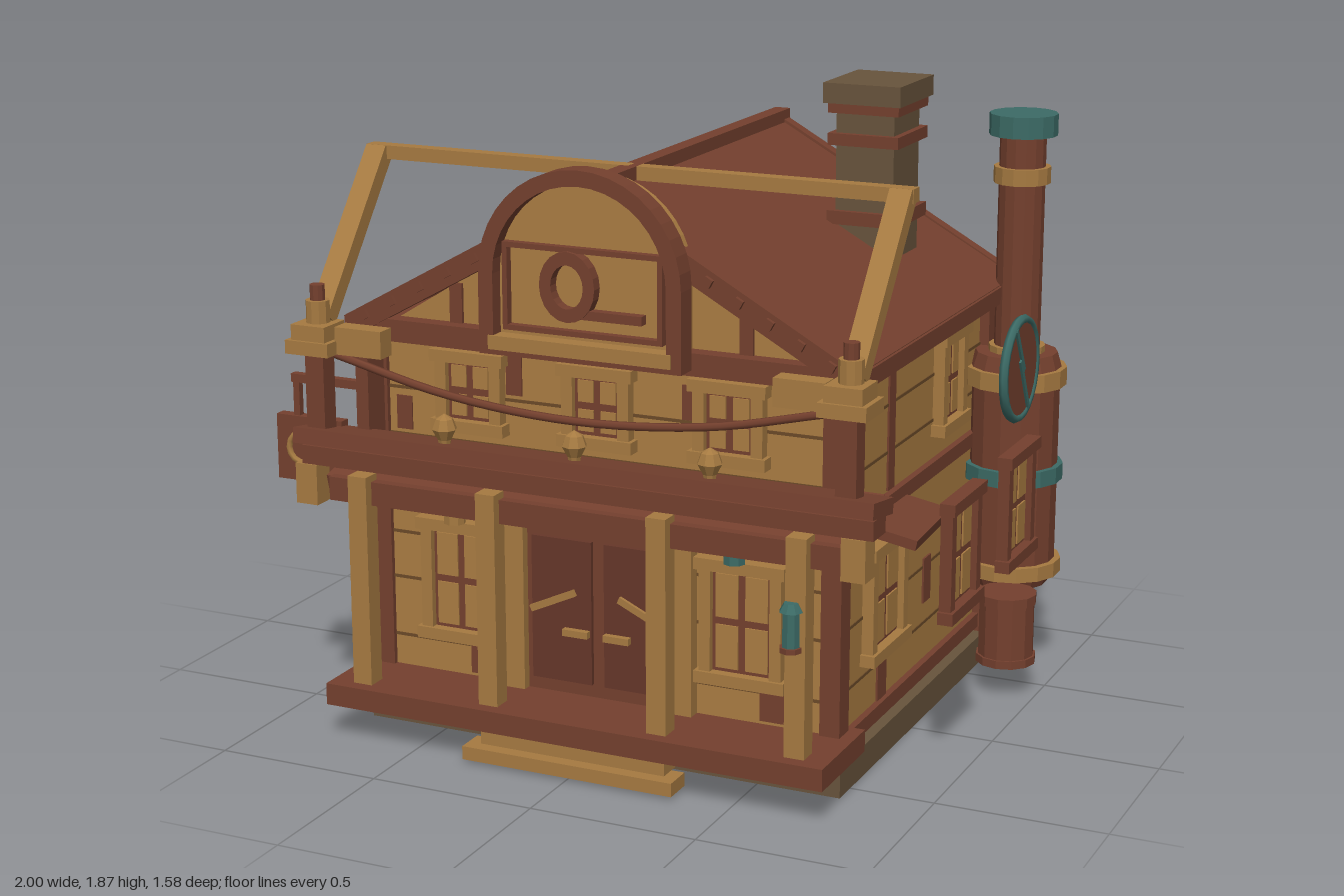
import * as THREE from 'three';

const mat = (name, color) => Object.assign(new THREE.MeshStandardMaterial({ color }), { name });
const plaster = mat('tan boards', 0xaa7c42);
const trim = mat('golden trim', 0xa67a41);
const rust = mat('red brown timber', 0x74402e);
const dark = mat('dark door timber', 0x663729);
const teal = mat('teal metal', 0x3c6b66);
const stone = mat('grey brown stone', 0x68543c);
const groove = mat('board groove', 0x6b4a28);

export function createModel() {
  const model = new THREE.Group();
  model.name = 'timberHouse';

  // ---- helpers ----
  const add = (parent, name, geo, m, x = 0, y = 0, z = 0) => {
    const mesh = new THREE.Mesh(geo, m);
    mesh.name = name;
    mesh.position.set(x, y, z);
    parent.add(mesh);
    return mesh;
  };
  const span = (name, m, x0, x1, y0, y1, z0, z1, parent = model) =>
    add(parent, name, new THREE.BoxGeometry(x1 - x0, y1 - y0, z1 - z0), m, (x0 + x1) / 2, (y0 + y1) / 2, (z0 + z1) / 2);
  const flat = (geo) => { const g = geo.toNonIndexed(); g.computeVertexNormals(); return g; };
  const drum = (name, m, r0, r1, y0, y1, x, z, sides = 14, parent = model) =>
    add(parent, name, flat(new THREE.CylinderGeometry(r1, r0, y1 - y0, sides)), m, x, (y0 + y1) / 2, z);
  const bar = (name, m, a, b, w, d, parent = model) => {
    const p = new THREE.Vector3(...a), q = new THREE.Vector3(...b);
    const mesh = add(parent, name, new THREE.BoxGeometry(w, p.distanceTo(q), d), m);
    mesh.position.copy(p).add(q).multiplyScalar(0.5);
    mesh.quaternion.setFromUnitVectors(new THREE.Vector3(0, 1, 0), q.sub(p).normalize());
    return mesh;
  };
  const extrude = (name, m, shape, z0, z1, parent = model) =>
    add(parent, name, new THREE.ExtrudeGeometry(shape, { depth: z1 - z0, bevelEnabled: false, curveSegments: 10 }), m, 0, 0, z0);
  const poly = (pts) => new THREE.Shape(pts.map((p) => new THREE.Vector2(...p)));

  // Framed window with four panes, facing +z before turning
  const windowUnit = (w, h, x, y, z, turn = 0, frame = trim) => {
    const g = new THREE.Group();
    g.name = 'window';
    const a = w / 2, b = h / 2, t = 0.035;
    span('windowBacking', rust, -a + 0.01, a - 0.01, -b + 0.01, b - 0.01, 0, 0.015, g);
    for (const s of [-1, 1]) {
      span('windowJamb', frame, s * (a - t / 2) - t / 2, s * (a - t / 2) + t / 2, -b, b, 0, 0.035, g);
      for (const v of [-1, 1]) {
        const px = (a - t) / 2, py = (b - t) / 2;
        span('windowPane', plaster, s * px - px + 0.011, s * px + px - 0.011, v * py - py + 0.011, v * py + py - 0.011, 0.014, 0.02, g);
      }
    }
    span('windowHead', frame, -a - 0.012, a + 0.012, b - t, b, 0, 0.045, g);
    span('windowSill', frame, -a - 0.012, a + 0.012, -b, -b + t, 0, 0.045, g);
    g.position.set(x, y, z);
    g.rotation.y = turn;
    model.add(g);
    return g;
  };
  const lantern = (x, y, z) => {
    drum('lanternGlass', teal, 0.025, 0.025, y - 0.06, y + 0.05, x, z, 8);
    drum('lanternBase', rust, 0.032, 0.032, y - 0.07, y - 0.055, x, z, 8);
    drum('lanternLid', teal, 0.034, 0.02, y + 0.045, y + 0.07, x, z, 8);
  };

  // ---- foundation, porch floor and steps ----
  span('foundation', stone, -0.75, 0.75, 0, 0.09, -0.72, 0.58);
  span('porchFloor', rust, -0.78, 0.78, 0.105, 0.17, 0.47, 0.79);
  span('upperStep', trim, -0.29, 0.29, 0.05, 0.09, 0.58, 0.75);
  span('lowerStep', trim, -0.33, 0.33, 0.01, 0.05, 0.7, 0.79);
  span('backStep', trim, -0.23, 0.23, 0.06, 0.12, -0.78, -0.7);

  // ---- walls with board grooves ----
  span('walls', plaster, -0.71, 0.71, 0.09, 1.2, -0.69, 0.55);
  for (const y of [0.26, 0.44, 0.58, 0.88, 1.02]) span('boardGroove', groove, -0.713, 0.713, y, y + 0.009, -0.693, 0.553);
  for (const [y0, y1] of [[0.105, 0.15], [0.72, 0.765], [1.165, 1.21]])
    span('wallBeam', rust, -0.73, 0.73, y0, y1, -0.71, 0.57);
  for (const x of [-0.71, 0.71]) for (const z of [-0.68, 0.53])
    span('cornerPost', rust, x - 0.03, x + 0.03, 0.09, 1.2, z - 0.035, z + 0.035);

  // Bare timber showing through the boards
  for (const [x, y, w, h] of [[-0.38, 0.23, 0.09, 0.1], [0.55, 0.23, 0.11, 0.1], [0.29, 1.08, 0.07, 0.1], [-0.63, 0.95, 0.05, 0.1], [-0.27, 1.1, 0.05, 0.12], [0.62, 0.5, 0.06, 0.07]])
    span('barePatchFront', rust, x - w / 2, x + w / 2, y - h / 2, y + h / 2, 0.55, 0.555);
  for (const s of [-1, 1]) for (const [z, y, w, h] of [[0.125, 0.97, 0.05, 0.4], [0.17, 0.2, 0.07, 0.13], [0.14, 0.68, 0.05, 0.1], [-0.2, 0.4, 0.06, 0.14]])
    span('barePatchSide', rust, s * 0.7125 - 0.0035, s * 0.7125 + 0.0035, y - h / 2, y + h / 2, z - w / 2, z + w / 2);

  // ---- roof ----
  const chevron = (x, top, eave, t) => poly([[-x, eave - t], [0, top - t], [x, eave - t], [x, eave], [0, top], [-x, eave]]);
  extrude('gable', plaster, poly([[-0.71, 1.19], [0.71, 1.19], [0, 1.63]]), -0.69, 0.55);
  extrude('roof', rust, chevron(0.8, 1.665, 1.225, 0.04), -0.74, 0.585);
  extrude('frontRake', rust, chevron(0.79, 1.675, 1.235, 0.075), 0.57, 0.61);
  extrude('backRake', rust, chevron(0.79, 1.675, 1.235, 0.075), -0.755, -0.715);
  span('ridgeBeam', rust, -0.025, 0.025, 1.62, 1.69, -0.76, 0.615);
  for (const s of [-1, 1]) {
    span('eaveBeam', rust, s * 0.77 - 0.025, s * 0.77 + 0.025, 1.17, 1.23, -0.74, 0.6);
    for (const z of [0.615, -0.758]) for (let i = 0; i < 5; i++) {
      const x = 0.36 + i * 0.09;
      const stud = add(model, 'rakeStud', new THREE.BoxGeometry(0.025, 0.025, 0.015), rust, s * x, 1.64 - x * 0.55, z);
      stud.rotation.z = -s * 0.5;
    }
    for (const x of [0.2, 0.45]) {
      span('gableStudBack', rust, s * x - 0.02, s * x + 0.02, 1.2, 1.63 - x * 0.62, -0.7, -0.68);
      span('gableStudFront', rust, s * x - 0.02, s * x + 0.02, 1.2, 1.63 - x * 0.62, 0.54, 0.56);
    }
  }
  span('frontTieBeam', rust, -0.78, 0.78, 1.17, 1.235, 0.55, 0.6);
  span('backTieBeam', rust, -0.76, 0.76, 1.165, 1.22, -0.74, -0.68);

  // ---- arched sign on the front gable ----
  const arch = (r, y0, c, Type = THREE.Shape) => {
    const s = new Type();
    s.moveTo(-r, y0); s.lineTo(r, y0); s.lineTo(r, c); s.absarc(0, c, r, 0, Math.PI, false); s.lineTo(-r, y0);
    return s;
  };
  extrude('archPanel', plaster, arch(0.285, 1.21, 1.42), 0.54, 0.635);
  const archFrame = arch(0.31, 1.19, 1.42);
  archFrame.holes.push(arch(0.265, 1.24, 1.42, THREE.Path));
  extrude('archFrame', rust, archFrame, 0.61, 0.68);
  span('archSill', trim, -0.28, 0.28, 1.205, 1.245, 0.62, 0.685);
  const rim = poly([[-0.245, 1.26], [0.245, 1.26], [0.245, 1.51], [-0.245, 1.51]]);
  rim.holes.push(new THREE.Path([[-0.23, 1.275], [0.23, 1.275], [0.23, 1.495], [-0.23, 1.495]].map((p) => new THREE.Vector2(...p))));
  extrude('signRim', rust, rim, 0.63, 0.66);
  const lens = new THREE.Shape().absellipse(-0.04, 1.4, 0.085, 0.1, 0, Math.PI * 2, false);
  lens.holes.push(new THREE.Path().absellipse(-0.04, 1.4, 0.05, 0.062, 0, Math.PI * 2, true));
  extrude('signRing', rust, lens, 0.63, 0.67);
  span('signBar', rust, 0, 0.185, 1.312, 1.338, 0.63, 0.665);

  // ---- front door ----
  span('doorBacking', rust, -0.24, 0.24, 0.17, 0.72, 0.55, 0.562);
  for (const s of [-1, 1]) {
    span('doorLeaf', dark, s * 0.115 - 0.095, s * 0.115 + 0.095, 0.21, 0.64, 0.56, 0.575);
    bar('doorBrace', trim, [s * 0.07, 0.485, 0.58], [s * 0.21, 0.42, 0.58], 0.02, 0.012);
    span('doorHandle', trim, s * 0.065 - 0.04, s * 0.065 + 0.04, 0.355, 0.375, 0.575, 0.595);
    span('doorJamb', trim, s * 0.265 - 0.035, s * 0.265 + 0.035, 0.17, 0.72, 0.55, 0.59);
  }

  // ---- windows ----
  const quarter = Math.PI / 2;
  for (const s of [-1, 1]) {
    windowUnit(0.25, 0.37, s * 0.445, 0.465, 0.55);
    windowUnit(0.21, 0.24, s * 0.405, 1.04, 0.55);
    windowUnit(0.25, 0.37, s * 0.45, 0.46, -0.69, Math.PI);
    windowUnit(0.21, 0.29, s * 0.41, 0.99, -0.69, Math.PI);
    windowUnit(0.28, 0.35, s * 0.71, 0.475, 0.185, s * quarter);
    windowUnit(0.21, 0.31, s * 0.71, 0.99, -0.335, s * quarter);
    if (s < 0) windowUnit(0.28, 0.35, s * 0.71, 0.475, -0.335, s * quarter);
  }
  windowUnit(0.21, 0.24, 0, 1.04, 0.55);
  // Shutters hung out on the right-hand side
  for (const z of [0.25, -0.245]) windowUnit(0.25, 0.35, 0.955, 0.655, z, quarter, rust);
  // Small slanted window hoods
  const hoodA = span('windowHood', rust, 0.7, 0.87, 0.69, 0.72, 0.03, 0.36);
  const hoodB = span('windowHood', rust, -0.87, -0.7, 1.12, 1.15, -0.48, -0.19);
  hoodA.rotation.set(0, 0.06, -0.2);
  hoodB.rotation.set(0, 0.06, 0.2);

  // ---- back door ----
  span('backDoorFrame', trim, -0.17, 0.17, 0.11, 0.7, -0.715, -0.68);
  span('backDoor', dark, -0.14, 0.14, 0.12, 0.67, -0.725, -0.7);
  const hood = span('backDoorHood', rust, -0.265, 0.265, 0.71, 0.75, -0.79, -0.68);
  hood.rotation.x = -0.2;
  span('lanternBracket', trim, -0.32, -0.28, 0.6, 0.64, -0.78, -0.69);
  lantern(-0.3, 0.51, -0.76);
  add(model, 'backDisc', flat(new THREE.CylinderGeometry(0.08, 0.08, 0.03, 14)), teal, 0.59, 1.03, -0.77).rotation.x = quarter;

  // ---- porch columns, canopy and balcony ----
  for (const x of [-0.68, -0.265, 0.265, 0.68]) span('porchColumn', trim, x - 0.03, x + 0.03, 0.17, 0.8, 0.69, 0.75);
  lantern(0.67, 0.55, 0.775 - 0.02);
  span('canopyBeam', rust, -0.79, 0.8, 0.71, 0.78, 0.66, 0.72);
  const canopy = add(model, 'canopy', new THREE.BoxGeometry(1.62, 0.05, 0.28), rust, 0, 0.79, 0.56);
  canopy.rotation.x = 0.27;
  span('balconyBeam', rust, -0.86, 0.9, 0.82, 0.875, 0.66, 0.75);
  const deck = add(model, 'balconyDeck', new THREE.BoxGeometry(1.78, 0.045, 0.15), rust, 0.02, 0.9, 0.705);
  deck.rotation.x = -0.15;
  for (const x of [-0.44, 0.44]) drum('porchLamp', x > 0 ? teal : trim, 0.032, 0.032, 0.655, 0.74, x, 0.61, 8);

  for (const s of [-1, 1]) {
    const x = s * 0.815;
    span('balconyPost', rust, x - 0.03, x + 0.03, 0.88, 1.16, 0.68, 0.74);
    span('postFoot', trim, s * 0.845 - 0.035, s * 0.845 + 0.035, 0.7, 0.82, 0.685, 0.755);
    span('postCollar', trim, x - 0.07, x + 0.07, 1.15, 1.19, 0.65, 0.78);
    span('postCap', trim, x - 0.055, x + 0.055, 1.19, 1.235, 0.66, 0.77);
    span('sideBracket', trim, s * 0.675 - 0.075, s * 0.675 + 0.075, 1.15, 1.23, 0.67, 0.73);
    drum('postPin', trim, 0.035, 0.035, 1.23, 1.3, x, 0.71, 10);
    drum('postPinTop', rust, 0.022, 0.022, 1.3, 1.345, x, 0.71, 10);
    bar('awningStrut', trim, [x, 1.24, 0.69], [x, 1.675, 0.345], 0.065, 0.05);
  }
  span('awningRail', trim, -0.85, 0.85, 1.65, 1.69, 0.315, 0.36);

  // Hanging rope and balcony lamps
  const rope = new THREE.CatmullRomCurve3([-0.76, -0.4, 0, 0.4, 0.76].map((x) => new THREE.Vector3(x, 1.035 + 0.19 * x * x, 0.71)));
  add(model, 'rope', new THREE.TubeGeometry(rope, 24, 0.012, 6), rust);
  for (const x of [-0.41, 0, 0.41]) {
    const profile = [[0, 0], [0.015, 0], [0.02, 0.025], [0.036, 0.055], [0.025, 0.085], [0, 0.1]].map((p) => new THREE.Vector2(...p));
    add(model, 'balconyLamp', flat(new THREE.LatheGeometry(profile, 8)), trim, x, 0.91, 0.71);
  }

  // ---- hanging board sign on the model's right ----
  span('hangingBoard', rust, -1.0, -0.78, 0.735, 0.93, 0.625, 0.66);
  add(model, 'hangingRing', new THREE.TorusGeometry(0.045, 0.01, 6, 14), trim, -0.915, 0.835, 0.66);
  span('hangingArm', rust, -0.95, -0.69, 1.03, 1.055, 0.63, 0.655);
  for (const x of [-0.935, -0.72]) span('hanger', rust, x - 0.01, x + 0.01, 0.92, 1.04, 0.632, 0.652);
  span('armMount', rust, -0.73, -0.69, 0.87, 1.16, 0.56, 0.655);

  // ---- chimney ----
  const stack = (name, m, w, d, y0, y1) => span(name, m, 0.48 - w / 2, 0.48 + w / 2, y0, y1, -0.34 - d / 2, -0.34 + d / 2);
  stack('chimneyShaft', stone, 0.18, 0.21, 1.3, 1.82);
  stack('chimneyBand', rust, 0.22, 0.25, 1.45, 1.49);
  stack('chimneyBand', rust, 0.22, 0.25, 1.685, 1.72);
  stack('chimneyBand', rust, 0.22, 0.25, 1.78, 1.81);
  stack('chimneyCap', stone, 0.24, 0.28, 1.81, 1.87);

  // ---- boiler with flue, and barrel ----
  for (const [name, m, r0, r1, y0, y1] of [
    ['boilerBottom', rust, 0.115, 0.13, 0.285, 0.325], ['boilerLowerHoop', trim, 0.155, 0.155, 0.32, 0.365],
    ['boilerBody', rust, 0.135, 0.135, 0.36, 0.95], ['boilerBand', teal, 0.152, 0.152, 0.62, 0.67],
    ['boilerUpperHoop', trim, 0.155, 0.155, 0.92, 0.975], ['boilerTop', rust, 0.14, 0.125, 0.97, 1.02],
    ['flue', rust, 0.07, 0.07, 1.0, 1.7], ['flueHoop', trim, 0.086, 0.086, 1.0, 1.04],
    ['flueHoop', trim, 0.086, 0.086, 1.54, 1.59], ['flueCap', teal, 0.103, 0.103, 1.685, 1.75],
  ]) drum(name, m, r0, r1, y0, y1, 0.835, -0.63);
  drum('barrel', rust, 0.085, 0.085, 0.105, 0.31, 0.9, -0.41, 12);
  drum('barrelHoop', rust, 0.092, 0.092, 0.1, 0.125, 0.9, -0.41, 12);
  drum('barrelRim', rust, 0.09, 0.09, 0.29, 0.32, 0.9, -0.41, 12);

  // ---- round sign on the right-hand side ----
  const sign = new THREE.Group();
  sign.name = 'roundSign';
  add(sign, 'signDisc', flat(new THREE.CylinderGeometry(0.145, 0.145, 0.015, 20)), rust).rotation.x = quarter;
  add(sign, 'signHoop', new THREE.TorusGeometry(0.146, 0.014, 6, 24), teal);
  bar('signBolt', teal, [-0.07, 0.13, 0.01], [0.01, -0.005, 0.01], 0.016, 0.008, sign);
  bar('signBolt', teal, [0.01, -0.005, 0.01], [-0.025, 0.03, 0.01], 0.016, 0.008, sign);
  bar('signBolt', teal, [-0.025, 0.03, 0.01], [0.06, -0.13, 0.01], 0.016, 0.008, sign);
  sign.position.set(0.975, 1.07, -0.225);
  sign.rotation.y = quarter;
  model.add(sign);

  return model;
}
